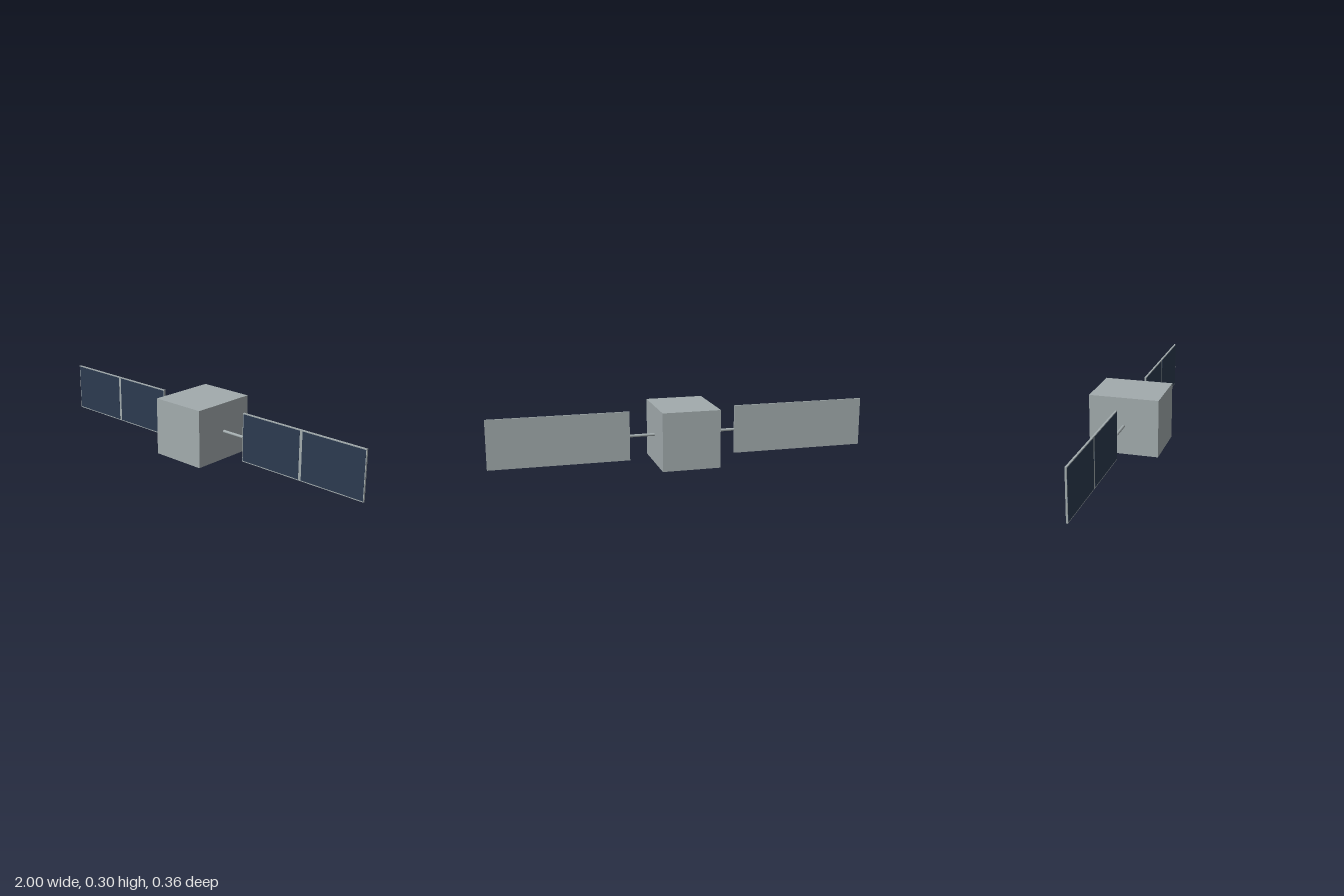
import * as THREE from 'three';

export function createModel() {
  const model = new THREE.Group();
  model.name = 'satellite';

  const grey = new THREE.MeshStandardMaterial({ color: 0xa2abad });
  grey.name = 'metal grey';
  const navy = new THREE.MeshStandardMaterial({ color: 0x2c3a4f });
  navy.name = 'solar cell navy';

  const midY = 0.15;

  function add(parent, name, geometry, material, x, y, z) {
    const mesh = new THREE.Mesh(geometry, material);
    mesh.name = name;
    mesh.position.set(x, y, z);
    parent.add(mesh);
    return mesh;
  }

  // Central body
  add(model, 'body', new THREE.BoxGeometry(0.3, 0.3, 0.36), grey, 0, midY, 0);

  // One wing per side: boom, backing panel and two thin cell plates on the front
  const boomGeometry = new THREE.CylinderGeometry(0.0075, 0.0075, 0.14, 16).rotateZ(Math.PI / 2);
  const panelGeometry = new THREE.BoxGeometry(0.72, 0.256, 0.009);
  const cellGeometry = new THREE.BoxGeometry(0.348, 0.246, 0.001);

  for (const [side, label] of [[1, 'left'], [-1, 'right']]) {
    const wing = new THREE.Group();
    wing.name = `${label}Wing`;
    add(wing, 'boom', boomGeometry, grey, side * 0.21, midY, 0);
    add(wing, 'panel', panelGeometry, grey, side * 0.64, midY, 0);
    add(wing, 'innerCell', cellGeometry, navy, side * 0.458, midY, 0.0047);
    add(wing, 'outerCell', cellGeometry, navy, side * 0.822, midY, 0.0047);
    model.add(wing);
  }

  return model;
}
